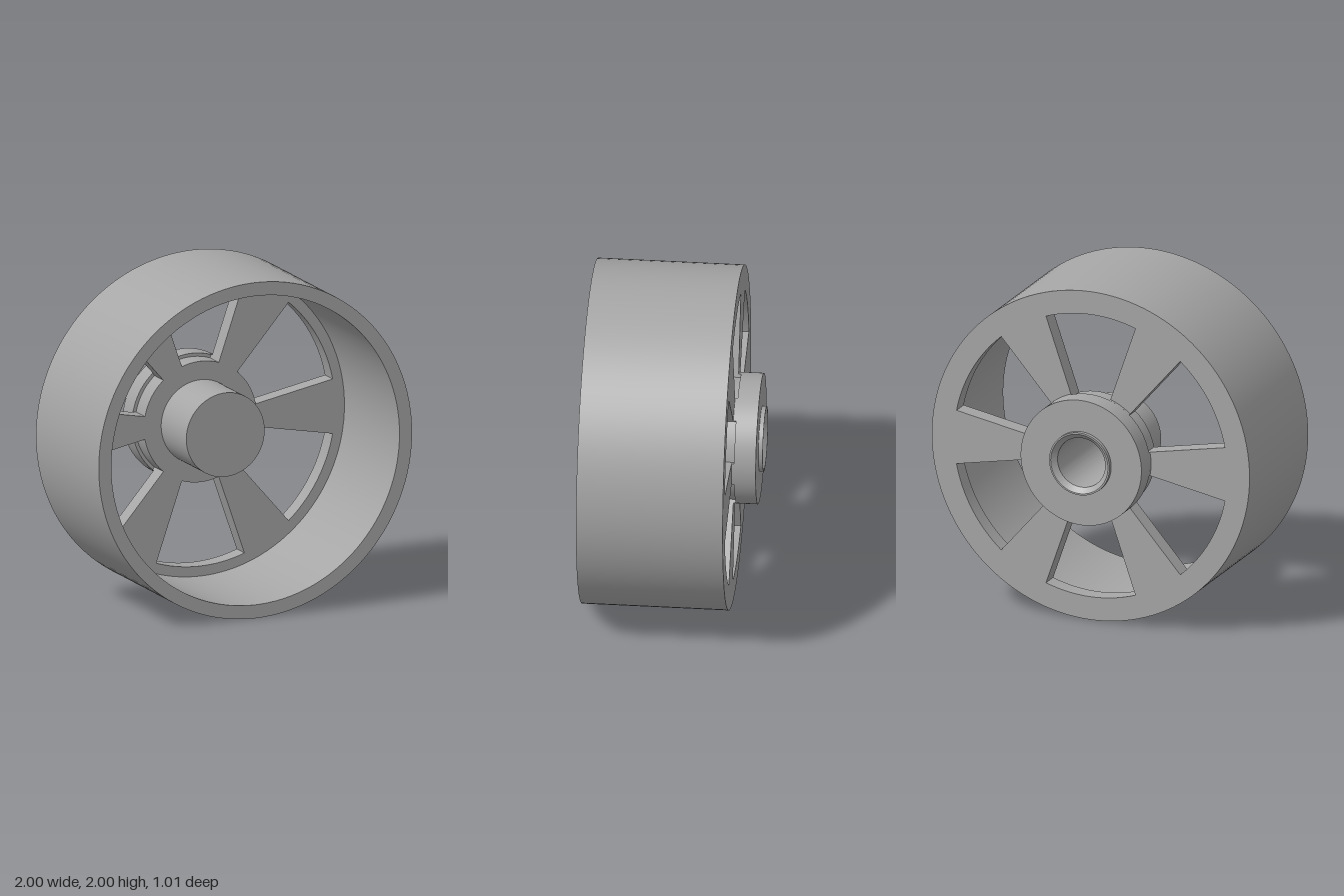
import * as THREE from 'three';
import { toCreasedNormals } from 'three/addons/utils/BufferGeometryUtils.js';

const WINDOWS = 6, HALF = THREE.MathUtils.degToRad(19.1), STEP = Math.PI * 2 / WINDOWS;
const R_IN = 0.36, R_OUT = 0.86, R_RIM = 0.92, R_HUB = 0.25, R_FLANGE = 0.38;
const BACK = -0.34, WEB_FRONT = -0.235, FLANGE_FRONT = -0.355;

// Solid of revolution about z from [radius, z] pairs (outer wall runs towards +z)
function turned(profile) {
  const pts = profile.map(([r, z]) => new THREE.Vector2(r, z));
  const g = new THREE.LatheGeometry(pts, 128);
  g.rotateX(Math.PI / 2);
  return toCreasedNormals(g, 0.5);
}

// Flat plate between two z values
function plate(shape, z0, z1) {
  const g = new THREE.ExtrudeGeometry(shape, { depth: z1 - z0, bevelEnabled: false, curveSegments: 64 });
  g.translate(0, 0, z0);
  return toCreasedNormals(g, 0.5);
}

function circleHole(r) {
  const p = new THREE.Path();
  p.absarc(0, 0, r, 0, Math.PI * 2, true);
  return p;
}

export function createModel() {
  const grey = new THREE.MeshStandardMaterial({ color: 0xa6a6a6 });
  grey.name = 'grey metal';
  const wheel = new THREE.Group();
  wheel.name = 'wheel';
  const add = (name, geometry) => {
    const mesh = new THREE.Mesh(geometry, grey);
    mesh.name = name;
    wheel.add(mesh);
  };

  // Broad outer band
  add('rim', turned([[R_RIM, 0.51], [R_RIM, BACK], [1, BACK], [1, 0.51], [R_RIM, 0.51]]));

  // Spoke disc with six sector windows
  const web = new THREE.Shape();
  web.absarc(0, 0, R_RIM, 0, Math.PI * 2, false);
  web.holes.push(circleHole(R_HUB));
  // Thin step behind the spokes, notched by the windows
  const step = new THREE.Shape();
  for (let i = 0; i < WINDOWS; i++) {
    const mid = Math.PI / 6 + i * STEP;
    const win = new THREE.Path();
    win.absarc(0, 0, R_OUT, mid - HALF, mid + HALF, false);
    win.absarc(0, 0, R_IN, mid + HALF, mid - HALF, true);
    win.closePath();
    web.holes.push(win);
    step.absarc(0, 0, R_IN, mid - HALF, mid + HALF, false);
    step.absarc(0, 0, R_FLANGE, mid + HALF, mid + STEP - HALF, false);
  }
  step.closePath();
  step.holes.push(circleHole(R_HUB));
  add('spokes', plate(web, BACK, WEB_FRONT));
  add('hubStep', plate(step, FLANGE_FRONT, BACK));

  // Hub: blind bore with chamfer, rear collar, flange and front boss
  add('hub', turned([
    [0, 0.05], [0.15, 0.05], [0.15, -0.475], [0.18, -0.505], [0.19, -0.505], [0.19, -0.48],
    [R_FLANGE, -0.48], [R_FLANGE, FLANGE_FRONT], [R_HUB, FLANGE_FRONT], [R_HUB, 0.105], [0, 0.105],
  ]));

  wheel.position.y = 1;
  const model = new THREE.Group();
  model.name = 'spokedWheel';
  model.add(wheel);
  return model;
}
